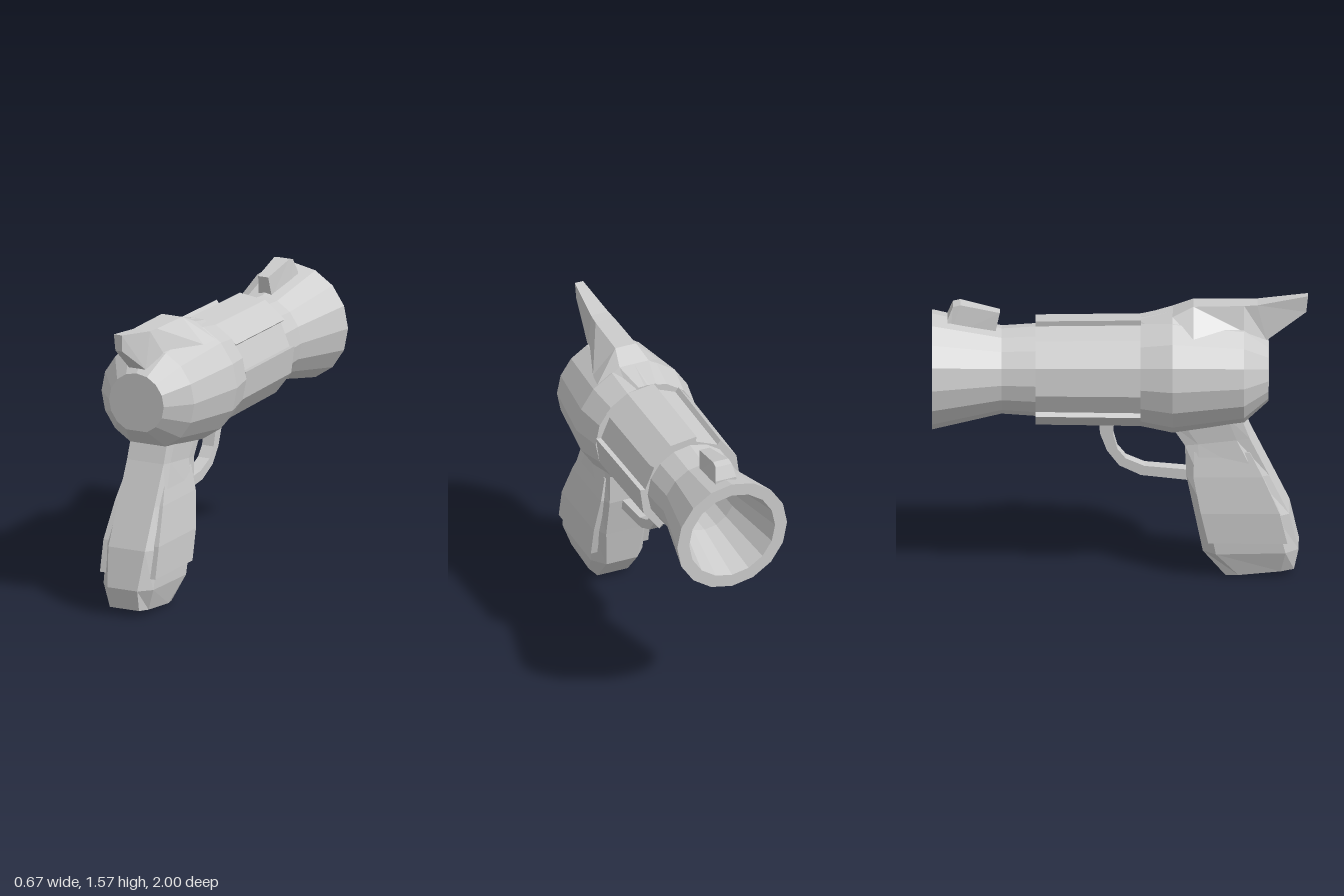
import * as THREE from 'three';

const AXIS = 1.14; // height of the barrel axis
const material = new THREE.MeshStandardMaterial({ color: 0xcccccc, flatShading: true });

function addMesh(parent, name, geometry) {
  const mesh = new THREE.Mesh(geometry, material);
  mesh.name = name;
  parent.add(mesh);
  return mesh;
}

// Closed solid through a list of rings with equal point counts
function loft(rings) {
  const pos = [];
  const tri = (a, b, c) => pos.push(...a, ...b, ...c);
  const n = rings[0].length;
  for (let r = 0; r < rings.length - 1; r++) {
    for (let i = 0; i < n; i++) {
      const j = (i + 1) % n, p = rings[r], q = rings[r + 1];
      tri(p[i], p[j], q[j]);
      tri(p[i], q[j], q[i]);
    }
  }
  const cap = (ring, flip) => {
    const c = [0, 1, 2].map(k => ring.reduce((s, p) => s + p[k], 0) / n);
    for (let i = 0; i < n; i++) {
      const a = ring[i], b = ring[(i + 1) % n];
      flip ? tri(c, b, a) : tri(c, a, b);
    }
  };
  cap(rings[0], true);
  cap(rings[rings.length - 1], false);

  // Turn the faces outward if the enclosed volume is negative
  let volume = 0;
  const [a, b, c] = [new THREE.Vector3(), new THREE.Vector3(), new THREE.Vector3()];
  for (let i = 0; i < pos.length; i += 9) {
    a.fromArray(pos, i);
    b.fromArray(pos, i + 3);
    c.fromArray(pos, i + 6);
    volume += a.dot(b.cross(c));
  }
  if (volume < 0) {
    for (let i = 0; i < pos.length; i += 9) {
      for (let k = 0; k < 3; k++) {
        [pos[i + 3 + k], pos[i + 6 + k]] = [pos[i + 6 + k], pos[i + 3 + k]];
      }
    }
  }
  const geometry = new THREE.BufferGeometry();
  geometry.setAttribute('position', new THREE.Float32BufferAttribute(pos, 3));
  geometry.computeVertexNormals();
  return geometry;
}

const polar = (deg, r, z) => {
  const t = THREE.MathUtils.degToRad(deg);
  return [r * Math.cos(t), AXIS + r * Math.sin(t), z];
};

// 16-sided ring around the axis; flatBottom drops the lowest corner
function ring16(z, r, flatBottom = false) {
  const pts = [];
  for (let i = 0; i < 16; i++) {
    if (!(flatBottom && i === 12)) pts.push(polar(i * 22.5, r, z));
  }
  return pts;
}

// 12-sided ring with every third face sunk inward
function slottedRing(z, r, depth) {
  const pts = [];
  for (let q = 0; q < 4; q++) {
    const d = 7.5 + q * 90;
    pts.push(polar(d, r, z), polar(d, r - depth, z), polar(d + 30, r - depth, z),
      polar(d + 30, r, z), polar(d + 60, r, z));
  }
  return pts;
}

// Trapezoid section across x
const trapezoid = ([z, topW, topY, baseW, baseY, baseZ = z]) => [
  [topW, topY, z], [-topW, topY, z], [-baseW, baseY, baseZ], [baseW, baseY, baseZ],
];

export function createModel() {
  const model = new THREE.Group();
  model.name = 'rayBlaster';

  // Rounded rear housing
  addMesh(model, 'rearBody', loft(
    [[0.79, 0.165], [0.66, 0.28], [0.28, 0.335], [0.11, 0.3]].map(([z, r]) => ring16(z, r, true))));

  // Barrel with four long recesses
  addMesh(model, 'slottedBarrel', loft([
    slottedRing(0.11, 0.3, 0.03), slottedRing(-0.45, 0.293, 0.03)]));

  // Flared, hollow muzzle: outside, rim, then bore
  addMesh(model, 'muzzle', loft([
    [-0.4, 0.248], [-0.45, 0.247], [-0.63, 0.235], [-1, 0.32],
    [-1, 0.25], [-0.64, 0.175], [-0.48, 0.175],
  ].map(([z, r]) => ring16(z, r))));

  // Rear fin, spreading into a skirt on the housing
  addMesh(model, 'rearFin', loft([
    [0.11, 0.05, 1.437, 0.1, 1.39],
    [0.28, 0.085, 1.475, 0.22, 1.385],
    [0.39, 0.06, 1.525, 0.19, 1.39],
    [0.66, 0.055, 1.528, 0.095, 1.395],
    [0.73, 0.05, 1.53, 0.05, 1.33, 0.78],
    [1.0, 0.024, 1.572, 0.02, 1.48, 0.99],
  ].map(trapezoid)));

  // Sight on top of the muzzle
  addMesh(model, 'frontSight', loft([
    [-0.64, 0.03, 1.475, 0.04, 1.36, -0.665],
    [-0.85, 0.045, 1.525, 0.06, 1.38, -0.85],
    [-0.89, 0.047, 1.515, 0.063, 1.39, -0.9],
    [-0.918, 0.06, 1.445, 0.065, 1.4, -0.918],
  ].map(trapezoid)));

  // Grip: octagonal sections, [rearY, frontY, rearZ, frontZ, end half-width, side half-width]
  addMesh(model, 'grip', loft([
    [0.92, 0.88, 0.64, 0.26, 0.11, 0.12],
    [0.79, 0.75, 0.69, 0.345, 0.11, 0.115],
    [0.58, 0.58, 0.793, 0.352, 0.11, 0.14],
    [0.36, 0.36, 0.9, 0.397, 0.11, 0.157],
    [0.15, 0.14, 0.95, 0.44, 0.09, 0.15],
    [0.035, 0, 0.925, 0.56, 0.088, 0.108],
  ].map(([yr, yf, zr, zf, e, w]) => {
    const b = 0.07, t = b / (zr - zf);
    const ya = yr + (yf - yr) * t, yb = yf + (yr - yf) * t;
    return [
      [e, yr, zr], [w, ya, zr - b], [w, yb, zf + b], [e, yf, zf],
      [-e, yf, zf], [-w, yb, zf + b], [-w, ya, zr - b], [-e, yr, zr],
    ];
  })));

  // Raised side panels of the grip, [y, rearZ, frontZ, outer x]
  for (const side of [1, -1]) {
    addMesh(model, side > 0 ? 'leftGripPanel' : 'rightGripPanel', loft([
      [0.21, 0.89, 0.47, 0.175],
      [0.38, 0.85, 0.43, 0.175],
      [0.58, 0.76, 0.39, 0.152],
      [0.715, 0.69, 0.395, 0.128],
    ].map(([y, zr, zf, x]) => [
      [side * (x - 0.008), y, zr], [side * (x - 0.008), y, zf],
      [side * 0.06, y, zf], [side * 0.06, y, zr],
    ])));
  }

  // Curved trigger guard: band sections, [outer z, outer y, inner z, inner y]
  const guardHalfWidth = 0.035;
  addMesh(model, 'triggerGuard', loft([
    [-0.11, 0.89, -0.03, 0.89],
    [-0.108, 0.79, -0.037, 0.78],
    [-0.07, 0.69, -0.015, 0.7],
    [-0.005, 0.605, 0.03, 0.645],
    [0.11, 0.55, 0.13, 0.602],
    [0.38, 0.52, 0.38, 0.58],
  ].map(([zo, yo, zi, yi]) => [
    [guardHalfWidth, yo, zo], [guardHalfWidth, yi, zi],
    [-guardHalfWidth, yi, zi], [-guardHalfWidth, yo, zo],
  ])));

  return model;
}
